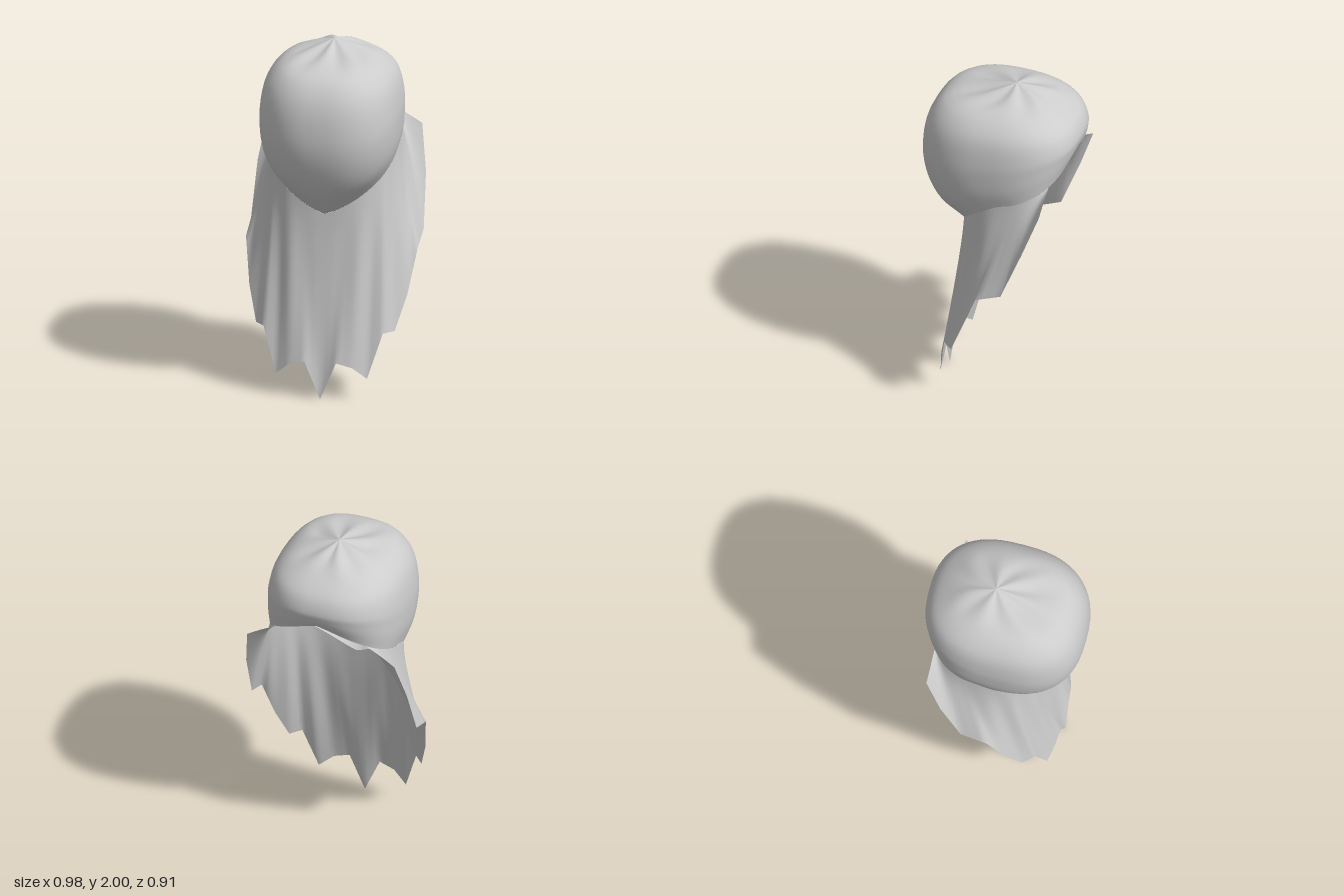
import * as THREE from 'three';

// Mask rings, crown to rim: [front z, front y, side x, side y, back z, back y]
const RINGS = [
  [0.12, 1.945, 0.14, 1.955, -0.23, 1.955],
  [0.33, 1.885, 0.27, 1.905, -0.35, 1.885],
  [0.42, 1.76, 0.355, 1.81, -0.425, 1.82],
  [0.45, 1.55, 0.39, 1.66, -0.455, 1.74],
  [0.42, 1.37, 0.392, 1.55, -0.45, 1.70],
  [0.34, 1.20, 0.385, 1.47, -0.44, 1.67],
  [0.20, 1.05, 0.365, 1.40, -0.42, 1.64],
];
// Ragged hem of the cape from the centre point to the back corner (+x half)
const HEM = [
  [0, 0, 0.33], [0.09, 0.215, 0.325], [0.18, 0.19, 0.315], [0.26, 0.125, 0.29],
  [0.34, 0.38, 0.24], [0.395, 0.38, 0.18], [0.45, 0.57, 0.10], [0.49, 0.82, 0],
  [0.492, 0.88, -0.15], [0.48, 1.18, -0.27], [0.44, 1.43, -0.36],
].map(p => new THREE.Vector3(...p));

const rounded = (v, e) => Math.sign(v) * Math.abs(v) ** e;

// Point on a ring at angle a (0 = front, positive towards +x)
function ringPoint(k, a) {
  const [zf, yf, sx, sy, zb, yb] = RINGS[k];
  const c = Math.cos(a), s = Math.sin(a);
  const smooth = sy + (yf - yb) / 2 * c + ((yf + yb) / 2 - sy) * c * c;
  const q = 1 - Math.abs(a) / (Math.PI / 2);
  const pointed = sy + (q > 0 ? (yf - sy) * q : (sy - yb) * q);
  let y = THREE.MathUtils.lerp(smooth, pointed, (k / 6) ** 3);
  if (k === 0) y += 0.008 * Math.cos(7 * a + 0.6);   // gathered pleats at the crown
  const e = k === 0 ? 1 : 0.78;
  return new THREE.Vector3(sx * rounded(s, e), y, (zf + zb) / 2 + (zf - zb) / 2 * rounded(c, e));
}

// Surface from columns of points that run downwards
function sheet(columns, closed) {
  const n = columns.length, m = columns[0].length, index = [];
  for (let i = 0; i < (closed ? n : n - 1); i++) {
    for (let j = 0; j < m - 1; j++) {
      const a = i * m + j, b = ((i + 1) % n) * m + j;
      index.push(a, a + 1, b, b, a + 1, b + 1);
    }
  }
  const g = new THREE.BufferGeometry().setFromPoints(columns.flat());
  g.setIndex(index);
  g.computeVertexNormals();
  return g;
}

export function createModel() {
  const group = new THREE.Group();
  const cloth = new THREE.MeshStandardMaterial({ color: 0xcccccc, side: THREE.DoubleSide });
  cloth.name = 'pale grey cloth';
  const add = (name, geometry) => {
    const mesh = new THREE.Mesh(geometry, cloth);
    mesh.name = name;
    group.add(mesh);
  };

  // Bulbous mask, open underneath along a slanting rim
  const shell = [];
  for (let i = 0; i < 64; i++) {
    const a = -Math.PI + i / 64 * Math.PI * 2;
    const pts = [new THREE.Vector3(0, 2, -0.07), ...RINGS.map((_, k) => ringPoint(k, a))];
    shell.push(new THREE.CatmullRomCurve3(pts, false, 'centripetal').getPoints(28));
  }
  add('mask', sheet(shell, true));

  // Cape hanging from the rim, open at the back
  const STEPS = 4, ROWS = 12, last = HEM.length - 1, half = last * STEPS;
  const maxAngle = THREE.MathUtils.degToRad(138);
  const cape = [];
  for (let i = -half; i <= half; i++) {
    const side = Math.sign(i) || 1, f = Math.abs(i) / STEPS, k = Math.min(Math.floor(f), last - 1);
    const hem = HEM[k].clone().lerp(HEM[k + 1], f - k);
    hem.x *= side;
    const u = f / last, top = ringPoint(6, side * u * maxAngle);
    const column = [];
    for (let j = 0; j <= ROWS; j++) {
      const t = j / ROWS, h = t ** (1.45 - 0.45 * u);
      const fold = 0.007 * Math.cos(f * Math.PI) * Math.sin(t * Math.PI);   // soft folds
      column.push(new THREE.Vector3(
        THREE.MathUtils.lerp(top.x, hem.x, h) + side * fold * u,
        THREE.MathUtils.lerp(top.y, hem.y, t),
        THREE.MathUtils.lerp(top.z, hem.z, h) + fold * (1 - u)));
    }
    cape.push(column);
  }
  add('cape', sheet(cape, false));
  return group;
}
